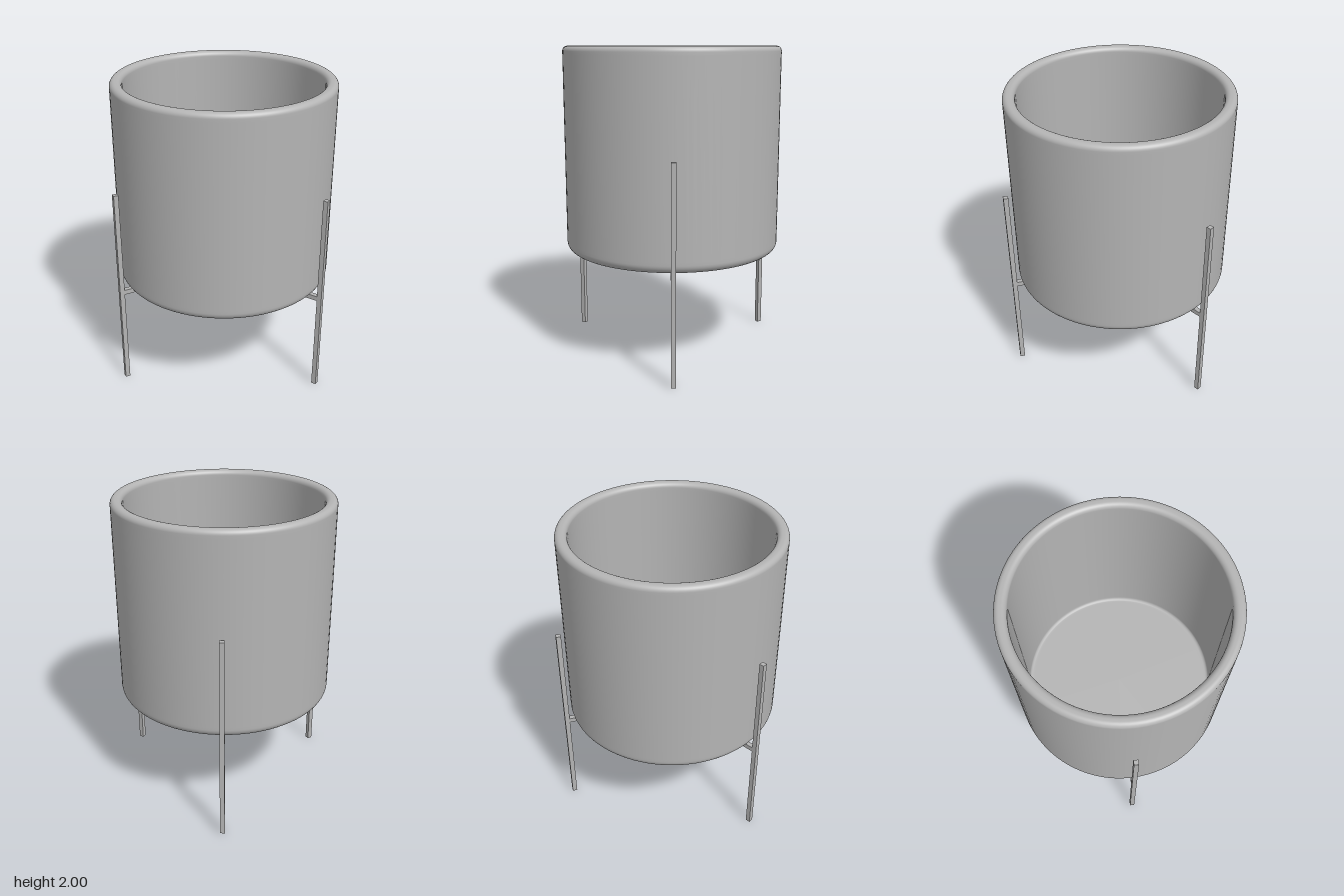
import * as THREE from 'three';

export function createModel() {
  const group = new THREE.Group();
  const grey = new THREE.MeshStandardMaterial({ color: 0xb4b4b4 });
  grey.name = 'grey';

  // Everything is arranged round the pot's axis
  const axis = new THREE.Group();
  axis.name = 'planter';
  axis.position.set(0.012, 0, 0.012);
  group.add(axis);

  // Pot profile: underside, outer wall, rounded rim, inner wall, floor
  const profile = [];
  const point = (r, y) => profile.push(new THREE.Vector2(r, y));
  const corner = (r, y, radius, from, to, steps = 8) => {
    for (let i = 0; i <= steps; i++) {
      const a = THREE.MathUtils.degToRad(from + ((to - from) * i) / steps);
      point(r + radius * Math.cos(a), y + radius * Math.sin(a));
    }
  };
  point(0, 0.685);
  point(0.63, 0.685);
  corner(0.642, 0.74, 0.055, -90, 0);
  point(0.697, 0.76);
  point(0.697, 1.95);
  corner(0.665, 1.968, 0.032, 0, 90);
  corner(0.654, 1.968, 0.032, 90, 180);
  point(0.622, 1.95);
  point(0.622, 0.79);
  corner(0.602, 0.78, 0.02, 0, -90, 4);
  point(0.59, 0.76);
  point(0, 0.76);
  const pot = new THREE.Mesh(new THREE.LatheGeometry(profile, 96), grey);
  pot.name = 'pot';
  axis.add(pot);

  // Three square legs, each with a bar running under the pot to the centre
  const thick = 0.031, legRadius = 0.739, legHeight = 1.36;
  const legGeometry = new THREE.BoxGeometry(thick, legHeight, thick);
  const barLength = legRadius - thick / 2;
  const barGeometry = new THREE.BoxGeometry(barLength, thick, thick);
  [45, 165, 285].forEach((degrees, i) => {
    const support = new THREE.Group();
    support.name = `support${i + 1}`;
    support.rotation.y = -THREE.MathUtils.degToRad(degrees);
    const leg = new THREE.Mesh(legGeometry, grey);
    leg.name = 'leg';
    leg.position.set(legRadius, legHeight / 2, 0);
    const bar = new THREE.Mesh(barGeometry, grey);
    bar.name = 'crossBar';
    bar.position.set(barLength / 2, 0.669, 0);
    support.add(leg, bar);
    axis.add(support);
  });

  return group;
}
